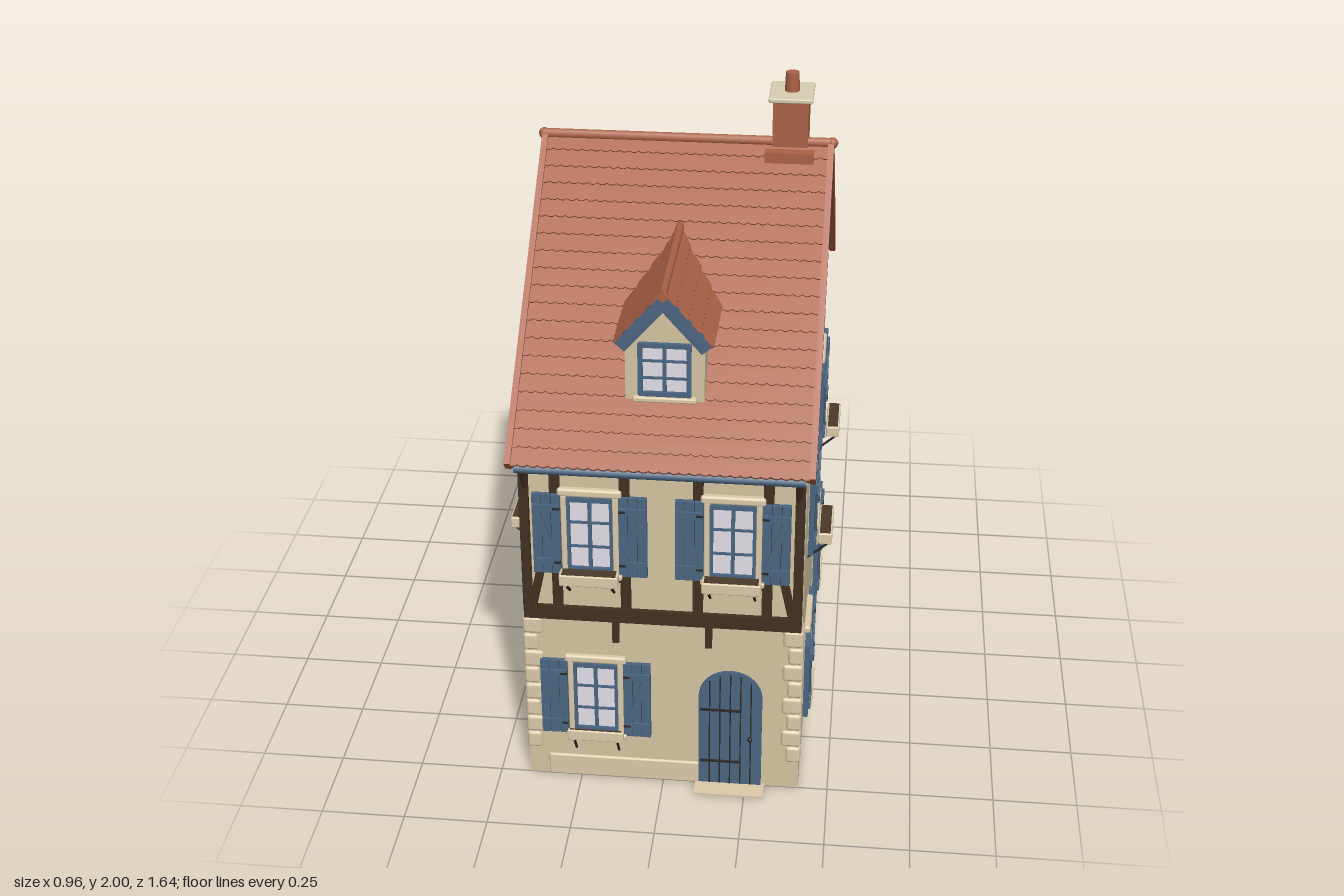
import * as THREE from 'three';
import { RoundedBoxGeometry } from 'three/addons/geometries/RoundedBoxGeometry.js';

const mat = (name, color) => Object.assign(new THREE.MeshStandardMaterial({ color }), { name });
const M = {
  wall: mat('plaster', 0xd5c5a2), stone: mat('pale stone', 0xdccbaa), roof: mat('terracotta', 0xab6247),
  blue: mat('blue paint', 0x4c6681), timber: mat('dark timber', 0x423021), glass: mat('window glass', 0xe8e4ec),
  iron: mat('iron', 0x2c2a28), cap: mat('chimney cap', 0xd8cfb2), soil: mat('soil', 0x4b3a2a),
};

function add(parent, name, geo, m, x = 0, y = 0, z = 0) {
  const mesh = new THREE.Mesh(geo, m);
  mesh.name = name;
  mesh.position.set(x, y, z);
  parent.add(mesh);
  return mesh;
}
const box = (p, name, m, w, h, d, x, y, z) => add(p, name, new THREE.BoxGeometry(w, h, d), m, x, y, z);
const block = (p, name, m, w, h, d, x, y, z, r = 0.008) => add(p, name, new RoundedBoxGeometry(w, h, d, 2, r), m, x, y, z);
function group(parent, name, x = 0, y = 0, z = 0, ry = 0) {
  const g = new THREE.Group();
  g.name = name;
  g.position.set(x, y, z);
  g.rotation.y = ry;
  parent.add(g);
  return g;
}
// Box-section bar between two points of the xy plane
function bar(p, name, m, x1, y1, x2, y2, w, d, z) {
  const b = box(p, name, m, w, Math.hypot(x2 - x1, y2 - y1), d, (x1 + x2) / 2, (y1 + y2) / 2, z);
  b.rotation.z = -Math.atan2(x2 - x1, y2 - y1);
}
// Round rod between two points
function rod(p, name, m, a, b, r) {
  const curve = new THREE.LineCurve3(new THREE.Vector3(...a), new THREE.Vector3(...b));
  add(p, name, new THREE.TubeGeometry(curve, 1, r, 8), m);
}
const polygon = (pts) => new THREE.Shape(pts.map(([x, y]) => new THREE.Vector2(x, y)));
const extrude = (shape, depth, curveSegments = 12) => new THREE.ExtrudeGeometry(shape, { depth, bevelEnabled: false, curveSegments });

// One pitched plane of overlapping scalloped tile courses, falling toward local +z
function slope(parent, name, width, run, drop, rows, tiles) {
  const g = group(parent, name);
  const length = Math.hypot(run, drop), step = length / rows, tw = width / tiles;
  g.rotation.x = -Math.atan2(run, drop);
  box(g, 'roofDeck', M.roof, width, length, 0.02, 0, -length / 2, -0.02);
  const s = new THREE.Shape();
  s.moveTo(width / 2, 0);
  s.lineTo(-width / 2, 0);
  s.lineTo(-width / 2, -step);
  for (let i = 0; i < tiles; i++) {
    const x = -width / 2 + i * tw;
    s.quadraticCurveTo(x + tw / 2, -step - 0.012, x + tw, -step);
  }
  const course = extrude(s, 0.008, 4);
  for (let i = 0; i < rows; i++) add(g, 'tileCourse', course, M.roof, 0, -i * step, -0.011).rotation.x = -0.08;
  return g;
}

// Plank shutter with Z bracing
function shutter(parent, x, side) {
  const g = group(parent, 'shutter', x, 0, 0.012);
  for (let i = -1; i <= 1; i++) box(g, 'shutterPlank', M.blue, 0.026, 0.262, 0.016, i * 0.0275, 0, 0);
  box(g, 'shutterBacking', M.iron, 0.08, 0.255, 0.01, 0, 0, -0.002);
  for (const y of [-0.09, 0.09]) box(g, 'shutterBatten', M.blue, 0.078, 0.022, 0.008, 0, y, 0.011);
  bar(g, 'shutterBrace', M.blue, -side * 0.028, -0.085, side * 0.028, 0.085, 0.016, 0.007, 0.011);
  for (const y of [-0.09, 0.09]) box(g, 'hinge', M.iron, 0.02, 0.007, 0.004, -side * 0.03, y, 0.014);
}

// Blue casement with panes
function casement(parent, w, h, bars) {
  box(parent, 'glass', M.glass, w, h, 0.006, 0, 0, 0.004);
  for (const s of [-1, 1]) {
    box(parent, 'frameSide', M.blue, 0.014, h, 0.016, s * (w / 2 - 0.004), 0, 0.008);
    box(parent, 'frameRail', M.blue, w, 0.014, 0.016, 0, s * (h / 2 - 0.004), 0.008);
  }
  box(parent, 'mullion', M.blue, 0.011, h, 0.01, 0, 0, 0.008);
  for (let i = 1; i <= bars; i++) box(parent, 'glazingBar', M.blue, w, 0.007, 0.008, 0, h * (i / (bars + 1) - 0.5), 0.008);
}

// Shuttered window; planter is the depth of its flower box, 0 for none
function houseWindow(parent, x, y, z, ry, planter) {
  const g = group(parent, 'window', x, y, z, ry);
  casement(g, 0.135, 0.24, 2);
  for (const s of [-1, 1]) {
    block(g, 'jamb', M.stone, 0.018, 0.26, 0.022, s * 0.074, 0, 0.006, 0.004);
    shutter(g, s * 0.124, s);
  }
  block(g, 'lintel', M.stone, 0.185, 0.026, 0.024, 0, 0.138, 0.006);
  block(g, 'sill', M.stone, 0.185, 0.018, 0.04, 0, -0.133, 0.01, 0.006);
  if (planter) {
    block(g, 'flowerBox', M.stone, 0.17, 0.036, planter, 0, -0.123, 0.03 + planter / 2, 0.004);
    box(g, 'soil', M.soil, 0.156, 0.004, planter - 0.01, 0, -0.105, 0.03 + planter / 2);
    for (const s of [-1, 1]) rod(g, 'boxBracket', M.iron, [s * 0.065, -0.14, 0.026 + planter], [s * 0.065, -0.2, 0], 0.004);
  }
}

function archShape(half, spring) {
  const s = new THREE.Shape();
  s.moveTo(-half, 0);
  s.lineTo(half, 0);
  s.lineTo(half, spring);
  s.absarc(0, spring, half, 0, Math.PI, false);
  s.lineTo(-half, 0);
  return s;
}

export function createModel() {
  const house = new THREE.Group();
  house.name = 'house';

  // Hollow ground floor, open underneath, with window recesses inside
  const ring = polygon([[-0.41, -0.75], [0.41, -0.75], [0.41, 0.75], [-0.41, 0.75]]);
  ring.holes.push(polygon([[-0.37, -0.71], [-0.37, 0.71], [0.37, 0.71], [0.37, -0.71]]));
  add(house, 'groundFloorWalls', extrude(ring, 0.6).rotateX(-Math.PI / 2), M.wall);
  for (const s of [-1, 1]) for (const z of [0.44, -0.21])
    box(house, 'innerRecess', M.wall, 0.29, 0.45, 0.25, s * 0.235, 0.375, z);

  // Upper floor and gables
  const gable = polygon([[-0.75, 0.6], [0.75, 0.6], [0.75, 1.135], [0, 1.768], [-0.75, 1.135]]);
  add(house, 'upperWalls', extrude(gable, 0.82).translate(0, 0, -0.41).rotateY(-Math.PI / 2), M.wall);

  // Main roof
  for (const ry of [0, Math.PI]) {
    const side = group(house, 'roofSide', 0, 1.805, 0, ry);
    const plane = slope(side, 'mainSlope', 0.85, 0.81, 0.68, 19, 30);
    for (const s of [-1, 1]) box(plane, 'verge', M.roof, 0.018, 1.06, 0.04, s * 0.426, -0.53, -0.012);
  }
  rod(house, 'ridge', M.roof, [-0.435, 1.8, 0], [0.435, 1.8, 0], 0.016);
  for (const s of [-1, 1]) add(house, 'ridgeEnd', new THREE.SphereGeometry(0.017, 12, 8), M.roof, s * 0.43, 1.8, 0);
  rod(house, 'gutter', M.blue, [-0.41, 1.104, 0.795], [0.41, 1.104, 0.795], 0.014);

  // Chimney
  const chimney = group(house, 'chimney', 0.305, 0, -0.047);
  box(chimney, 'chimneyStack', M.roof, 0.105, 0.28, 0.13, 0, 1.79, 0);
  box(chimney, 'chimneyFlashing', M.roof, 0.145, 0.045, 0.14, 0, 1.762, 0.037);
  block(chimney, 'chimneyCap', M.cap, 0.13, 0.014, 0.16, 0, 1.936, 0, 0.004);
  add(chimney, 'chimneyPot', new THREE.CylinderGeometry(0.02, 0.022, 0.06, 16), M.roof, 0, 1.97, 0);

  // Dormer
  const dormer = group(house, 'dormer');
  const face = polygon([[-0.112, 1.25], [0.112, 1.25], [0.112, 1.46], [0, 1.592], [-0.112, 1.46]]);
  add(dormer, 'dormerWalls', extrude(face, 0.435), M.wall, 0, 0, 0.21);
  for (const s of [-1, 1]) {
    const side = group(dormer, 'dormerRoofSide', 0, 1.614, 0.45, s * Math.PI / 2);
    slope(side, 'dormerSlope', 0.47, 0.138, 0.158, 4, 15);
    bar(dormer, 'bargeboard', M.blue, 0, 1.583, s * 0.122, 1.443, 0.038, 0.016, 0.679);
  }
  rod(dormer, 'dormerRidge', M.roof, [0, 1.611, 0.2], [0, 1.611, 0.688], 0.013);
  casement(group(dormer, 'dormerWindow', 0, 1.36, 0.64), 0.145, 0.16, 2);
  block(dormer, 'dormerSill', M.stone, 0.18, 0.016, 0.025, 0, 1.268, 0.65, 0.005);

  // Windows on all three faces
  for (const s of [-1, 1]) for (const z of [0.44, -0.21]) {
    houseWindow(house, s * 0.41, 0.875, z, s * Math.PI / 2, 0.042);
    houseWindow(house, s * 0.41, 0.288, z, s * Math.PI / 2, 0);
  }
  for (const s of [-1, 1]) houseWindow(house, s * 0.205, 0.875, 0.75, 0, 0.042);
  houseWindow(house, -0.2, 0.3, 0.747, 0, 0.014);

  // Timber framing of the upper front
  const frame = group(house, 'timberFrame', 0, 0, 0.748);
  box(frame, 'floorBeam', M.timber, 0.814, 0.045, 0.03, 0, 0.6, 0);
  box(frame, 'topBeam', M.timber, 0.814, 0.035, 0.024, 0, 1.09, 0);
  for (const s of [-1, 1]) {
    box(frame, 'cornerPost', M.timber, 0.028, 0.5, 0.026, s * 0.394, 0.85, 0);
    for (const x of [0.105, 0.305]) box(frame, 'stud', M.timber, 0.03, 0.48, 0.02, s * x, 0.85, 0);
    bar(frame, 'diagonalBrace', M.timber, s * 0.38, 0.62, s * 0.335, 0.83, 0.025, 0.018, 0);
    box(frame, 'windowRail', M.timber, 0.22, 0.022, 0.018, s * 0.205, 0.725, 0);
    box(frame, 'joistBracket', M.timber, 0.02, 0.09, 0.03, s * 0.137, 0.55, 0);
    rod(frame, 'eavesBrace', M.timber, [s * 0.39, 1.01, 0], [s * 0.39, 1.11, 0.045], 0.009);
  }

  // Corner stones, alternating long and short
  for (const s of [-1, 1]) for (let i = 0; i < 8; i++) {
    const w = i % 2 ? 0.06 : 0.045;
    block(house, 'cornerStone', M.stone, w, 0.057, w + 0.004, s * (0.415 - w / 2), 0.125 + i * 0.06, 0.755 - w / 2, 0.01);
  }
  block(house, 'plinth', M.stone, 0.46, 0.075, 0.02, -0.12, 0.038, 0.747, 0.006);

  // Arched plank door
  const door = group(house, 'door', 0.203, 0, 0.747);
  add(door, 'doorLeaf', extrude(archShape(0.095, 0.325), 0.01), M.blue);
  for (let i = -2; i <= 2; i++) {
    const x = i * 0.031, top = 0.32 + Math.sqrt(0.093 ** 2 - x * x);
    box(door, 'plankGroove', M.iron, 0.004, top - 0.01, 0.003, x, top / 2, 0.01);
  }
  for (const y of [0.09, 0.28]) box(door, 'strapHinge', M.iron, 0.12, 0.007, 0.005, -0.03, y, 0.012);
  add(door, 'doorKnob', new THREE.SphereGeometry(0.008, 10, 8), M.iron, 0.06, 0.18, 0.016);
  box(house, 'doorstep', M.stone, 0.21, 0.006, 0.07, 0.203, 0.003, 0.777);

  return house;
}
